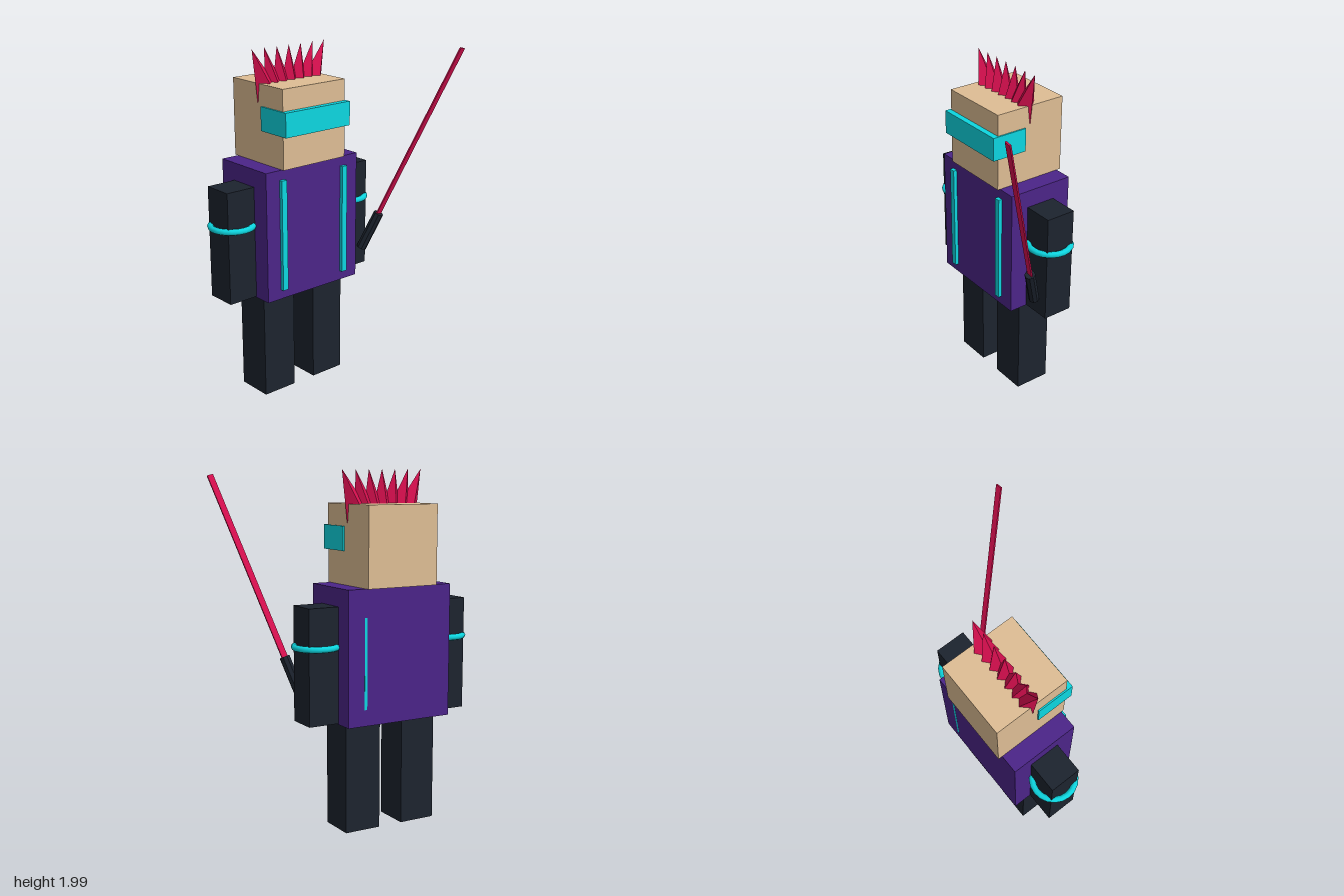
import * as THREE from 'three';

const material = (color) => new THREE.MeshStandardMaterial({ color, flatShading: true });

export function createModel() {
  const model = new THREE.Group();
  model.name = 'blockySwordsman';
  const dark = material(0x1c232e), purple = material(0x4b2488), skin = material(0xdebd94);
  const cyan = material(0x0dd6e0), crimson = material(0xd80f4f);
  const cyanSmooth = new THREE.MeshStandardMaterial({ color: 0x0dd6e0 });

  const add = (parent, name, geometry, mat, x, y, z) => {
    const mesh = new THREE.Mesh(geometry, mat);
    mesh.name = name;
    mesh.position.set(x, y, z);
    parent.add(mesh);
    return mesh;
  };
  const box = (w, h, d) => new THREE.BoxGeometry(w, h, d);

  // The body's own centre line; the outstretched sword shifts it off the origin
  const body = new THREE.Group();
  body.name = 'body';
  body.position.set(-0.12, 0, -0.178);
  model.add(body);

  add(body, 'torso', box(0.65, 0.745, 0.395), purple, 0, 0.9925, 0);
  add(body, 'head', box(0.435, 0.44, 0.435), skin, 0, 1.585, -0.004);
  add(body, 'visor', box(0.452, 0.135, 0.215), cyan, 0, 1.6175, 0.14);

  // Paired limbs, arm rings and torso stripes
  for (const [side, s] of [['left', 1], ['right', -1]]) {
    add(body, side + 'Leg', box(0.215, 0.62, 0.215), dark, s * 0.18, 0.31, 0);
    add(body, side + 'Arm', box(0.178, 0.64, 0.178), dark, s * 0.414, 0.945, 0);
    const ring = add(body, side + 'ArmRing', new THREE.TorusGeometry(0.118, 0.018, 8, 20),
      cyanSmooth, s * 0.414, 1.045, 0);
    ring.rotation.x = Math.PI / 2;
    add(body, side + 'Stripe', box(0.035, 0.635, 0.03), cyan, s * 0.217, 0.9925, 0.204);
  }
  // Thin stripe on the back
  add(body, 'backStripe', box(0.016, 0.5, 0.01), cyan, 0.217, 0.96, -0.193);

  // Row of four-sided hair spikes, fanned outward and pivoting on their tips
  const spike = new THREE.ConeGeometry(0.078, 0.28, 4).translate(0, -0.14, 0);
  for (let i = -3; i <= 3; i++) {
    const hair = add(body, 'hairSpike', spike, crimson, i * 0.084, 1.99, 0);
    hair.rotation.z = -i * 0.128;
  }

  // Sword leaning forward and outward, origin where blade meets handle
  const sword = new THREE.Group();
  sword.name = 'sword';
  sword.position.set(0.38, 0.96, 0.025);
  sword.rotation.set(0.35, 0, -0.25);
  model.add(sword);
  add(sword, 'handle', new THREE.CylinderGeometry(0.03, 0.03, 0.245, 8), dark, 0, -0.1175, 0);
  add(sword, 'blade', box(0.036, 1.095, 0.009), crimson, 0, 0.5475, 0);

  return model;
}
